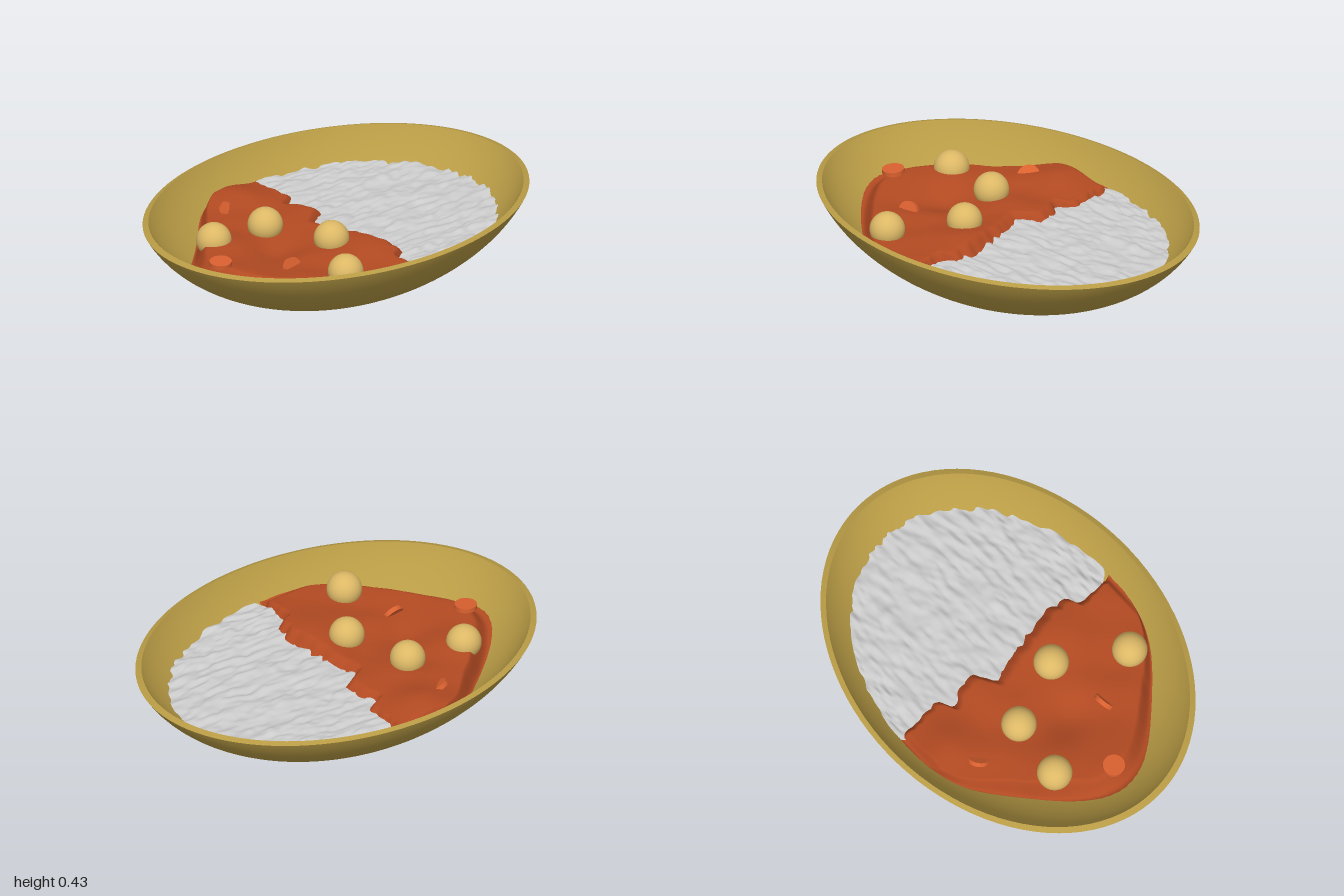
import * as THREE from 'three';

const DEPTH = 0.755; // z radius of the oval bowl, relative to its x radius of 1

const mat = (color) => new THREE.MeshStandardMaterial({ color, side: THREE.DoubleSide });
const bowlMat = mat(0xb89b45), curryMat = mat(0xb24a22), potatoMat = mat(0xdcb866);
const carrotMat = mat(0xd9602f), riceMat = mat(0xcccccc);

// Heights of the bowl's outer and inner wall at a normalised radius
const outerY = (r) => 0.629 * (1 - Math.sqrt(1 - (r / 1.06) ** 2));
const innerY = (r) => 0.04 + 0.61 * (1 - Math.sqrt(1 - Math.min(0.99, r / 1.04) ** 2));
const wallY = (x, z) => innerY(Math.hypot(x, z / DEPTH));

// Seeded smooth value noise in the range -1..1
const hash = (i, j) => {
  const s = Math.sin(i * 127.1 + j * 311.7) * 43758.5453;
  return (s - Math.floor(s)) * 2 - 1;
};
const noise = (x, z) => {
  const i = Math.floor(x), j = Math.floor(z);
  const a = THREE.MathUtils.smoothstep(x - i, 0, 1), b = THREE.MathUtils.smoothstep(z - j, 0, 1);
  const { lerp } = THREE.MathUtils;
  return lerp(lerp(hash(i, j), hash(i + 1, j), a), lerp(hash(i, j + 1), hash(i + 1, j + 1), a), b);
};

function add(parent, name, geometry, material) {
  const mesh = new THREE.Mesh(geometry, material);
  mesh.name = name;
  parent.add(mesh);
  return mesh;
}

// Upward-facing sheet; place(u, v) returns [x, y, z]
function sheet(nu, nv, place) {
  const geometry = new THREE.PlaneGeometry(1, 1, nu, nv);
  const { position, uv } = geometry.attributes;
  for (let i = 0; i < position.count; i++) {
    position.setXYZ(i, ...place(uv.getX(i), 1 - uv.getY(i)));
  }
  geometry.computeVertexNormals();
  return geometry;
}

// Oval lathe section
function ovalLathe(points) {
  const geometry = new THREE.LatheGeometry(points.map(([r, y]) => new THREE.Vector2(r, y)), 96);
  return geometry.scale(1, 1, DEPTH);
}

function arc(fn, rMax, reverse) {
  const points = [];
  for (let i = 0; i <= 32; i++) {
    const r = rMax * Math.sin((i / 32) * Math.PI / 2);
    points.push([r, fn(r)]);
  }
  return reverse ? points.reverse() : points;
}

// Wavy line where the curry spills onto the rice: x as a function of z
const edgeCurve = new THREE.SplineCurve([
  [-0.64, 0.05], [-0.55, 0.07], [-0.46, 0.1], [-0.38, 0.1], [-0.33, 0.03], [-0.24, 0.1], [-0.16, 0.1],
  [-0.09, 0.01], [0.02, 0.05], [0.15, 0.08], [0.3, 0.1], [0.4, 0.09], [0.45, 0.02], [0.55, 0.01], [0.64, 0.01],
].map(([z, x]) => new THREE.Vector2(z, x)));
const edgeSamples = edgeCurve.getPoints(200);
const curryEdge = (z) => {
  const p = edgeSamples.find((q) => q.x >= z) ?? edgeSamples[200];
  return p.y + 0.012 * noise(z * 40, 3);
};

// Gentle lumps of the curry surface
const bump = (x, z, cx, cz, size, h) => h * Math.exp(-((x - cx) ** 2 + (z - cz) ** 2) / size ** 2);
const curryTop = (x, z) => 0.312 + 0.012 * noise(x * 6 + 2, z * 6)
  + bump(x, z, -0.15, -0.5, 0.15, 0.04) + bump(x, z, -0.62, -0.2, 0.17, 0.03)
  + bump(x, z, -0.72, 0.03, 0.12, 0.025) + bump(x, z, -0.08, 0.25, 0.15, 0.025)
  + bump(x, z, 0, -0.2, 0.12, 0.02) - bump(x, z, -0.42, 0.03, 0.12, 0.03);

function curryPoint(u, v) {
  const { smoothstep, lerp } = THREE.MathUtils;
  const t = (v - 0.5) * Math.PI;
  const z = 0.635 * Math.sin(t);
  const pinch = 1 - (z < 0 ? 0.21 : 0.14) * Math.sin(2 * t) ** 2;
  const x = lerp(-0.83 * Math.cos(t) * pinch, curryEdge(z), u);
  // Sink towards the bowl wall, and drop into the rice on the open side
  const rim = Math.max(1 - smoothstep(u, 0, 0.12), smoothstep(Math.abs(Math.sin(t)), 0.93, 1));
  const y = lerp(curryTop(x, z), wallY(x, z), rim);
  return [x, lerp(y, 0.26, smoothstep(u, 0.88, 1)), z];
}

function ricePoint(u, v) {
  const t = (v - 0.5) * Math.PI;
  const z = 0.636 * Math.sin(t);
  const x = THREE.MathUtils.lerp(-0.1, 0.842, u) * Math.cos(t) + 0.06 * (1 - Math.cos(t)) * (1 - u);
  // Long grains: noise stretched along x
  const grains = 0.009 * noise(x * 11 + 5, z * 38) + 0.005 * noise(x * 24, z * 70 + 9);
  return [x, 0.288 + grains, z];
}

export function createModel() {
  const model = new THREE.Group();
  model.name = 'curryBowl';

  // Bowl: outside, bevelled rim and inside kept separate for crisp edges
  const bowl = new THREE.Group();
  bowl.name = 'bowl';
  model.add(bowl);
  add(bowl, 'bowlOutside', ovalLathe(arc(outerY, 1)), bowlMat);
  add(bowl, 'bowlRim', ovalLathe([[1, outerY(1)], [0.97, 0.43]]), bowlMat);
  add(bowl, 'bowlInside', ovalLathe(arc(innerY, 0.97, true)), bowlMat);

  add(model, 'rice', sheet(130, 180, ricePoint), riceMat);
  add(model, 'curry', sheet(90, 120, curryPoint), curryMat);

  // Round potatoes, half sunk in the curry
  for (const [x, z] of [[-0.57, -0.215], [-0.28, -0.18], [-0.15, 0.135], [-0.345, 0.45]]) {
    add(model, 'potato', new THREE.SphereGeometry(0.083, 32, 20), potatoMat).position.set(x, 0.335, z);
  }

  // Carrot slices: position, tilt about x and about z
  const slices = [
    [-0.73, 0.345, 0.01, 0.05, 0.05],
    [-0.28, 0.315, -0.43, 0.55, -0.35],
    [-0.45, 0.295, 0.2, 1.1, -0.1],
  ];
  for (const [x, y, z, tiltX, tiltZ] of slices) {
    const slice = add(model, 'carrotSlice', new THREE.CylinderGeometry(0.052, 0.052, 0.022, 28), carrotMat);
    slice.position.set(x, y, z);
    slice.rotation.set(tiltX, 0, tiltZ);
  }
  return model;
}
